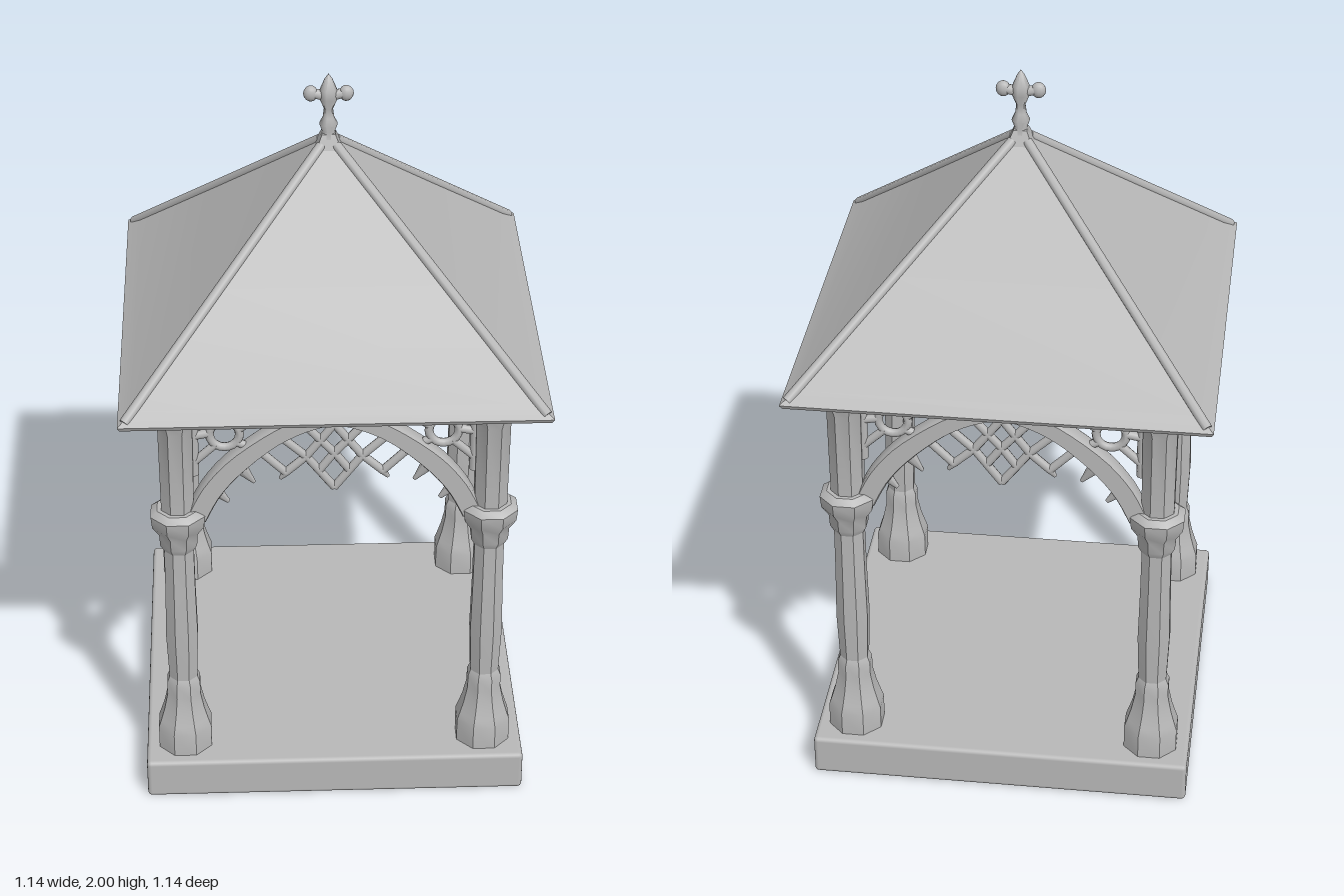
import * as THREE from 'three';
import { toCreasedNormals } from 'three/addons/utils/BufferGeometryUtils.js';
import { RoundedBoxGeometry } from 'three/addons/geometries/RoundedBoxGeometry.js';

const stone = new THREE.MeshStandardMaterial({ color: 0xb8b8b8 });
stone.name = 'grey stone';

function add(parent, name, geometry, x = 0, y = 0, z = 0) {
  const mesh = new THREE.Mesh(geometry, stone);
  mesh.name = name;
  mesh.position.set(x, y, z);
  parent.add(mesh);
  return mesh;
}

// Turned form with flat sides; profile is [half width, y] from bottom to top
function turned(profile, sides, crease = 0.6) {
  const k = 1 / Math.cos(Math.PI / sides);
  const g = new THREE.LatheGeometry(profile.map(([r, y]) => new THREE.Vector2(r * k, y)), sides);
  g.rotateY(Math.PI / sides);
  return toCreasedNormals(g, crease);
}

// Round bar between two points, tapering to r2 at the far end
function bar(parent, name, from, to, r = 0.012, r2 = r) {
  const a = new THREE.Vector3(...from), b = new THREE.Vector3(...to);
  const d = b.clone().sub(a);
  const mesh = add(parent, name, new THREE.CylinderGeometry(r2, r, d.length(), 8));
  mesh.position.copy(a).add(b).multiplyScalar(0.5);
  mesh.quaternion.setFromUnitVectors(new THREE.Vector3(0, 1, 0), d.normalize());
  return mesh;
}

// Pointed arch band, extruded
function archGeometry() {
  const outer = [[0.39, 0.92], [0.35, 1.0], [0.28, 1.085], [0.17, 1.17], [0.08, 1.215], [0, 1.238]];
  const inner = [[0, 1.195], [0.08, 1.17], [0.16, 1.125], [0.25, 1.045], [0.31, 0.97], [0.35, 0.89]];
  const smooth = (pts) => new THREE.SplineCurve(pts.map((p) => new THREE.Vector2(...p))).getPoints(16);
  const o = smooth(outer), i = smooth(inner);
  const flip = (pts) => pts.map((p) => new THREE.Vector2(-p.x, p.y)).reverse();
  const shape = new THREE.Shape([
    new THREE.Vector2(0.39, 0.89), ...o, ...flip(o).slice(1),
    new THREE.Vector2(-0.39, 0.89), ...flip(i), ...i.slice(1),
  ]);
  const g = new THREE.ExtrudeGeometry(shape, {
    depth: 0.036, bevelEnabled: true, bevelSize: 0.004, bevelThickness: 0.008, bevelSegments: 1,
  });
  g.translate(0, 0, -0.018);
  return toCreasedNormals(g, 0.6);
}

// One side of the pavilion: arch, spandrel tracery and hanging ornament
function archSide(arch, lattice) {
  const side = new THREE.Group();
  side.name = lattice ? 'latticeArch' : 'cuspedArch';
  add(side, 'archBand', arch);
  add(side, 'topBeam', new THREE.BoxGeometry(0.8, 0.035, 0.07), 0, 1.235, 0);
  for (const s of [-1, 1]) {
    const b = (x1, y1, x2, y2, r, r2) => bar(side, 'traceryBar', [s * x1, y1, 0], [s * x2, y2, 0], r, r2);
    // Spandrel roundel and its ties
    add(side, 'roundel', new THREE.TorusGeometry(0.04, 0.012, 8, 20), s * 0.292, 1.155, 0);
    b(0.385, 1.15, 0.33, 1.16);
    b(0.385, 1.06, 0.315, 1.125);
    b(0.36, 1.22, 0.32, 1.185);
    b(0.26, 1.13, 0.24, 1.12);
    b(0.255, 1.17, 0.19, 1.215);
    b(0.375, 1.03, 0.375, 1.22, 0.013);
    // Cusps along the lower arch
    b(0.33, 0.99, 0.285, 0.94, 0.022, 0.006);
    b(0.26, 1.06, 0.215, 1.0, 0.024, 0.005);
    if (lattice) {
      b(0, 1.18, 0.075, 1.08);
      b(0.075, 1.08, 0, 0.98);
      b(0.08, 1.18, 0, 1.09);
      b(0.075, 1.08, 0.15, 1.15);
      b(0.075, 1.08, 0.13, 1.03);
      b(0.13, 1.03, 0.2, 1.1);
      b(0.13, 1.03, 0.145, 1.01, 0.012, 0.005);
      b(0, 1.09, 0.04, 1.035);
    } else {
      b(0.17, 1.13, 0.15, 1.04, 0.03, 0.004);
      b(0.09, 1.175, 0.075, 1.12, 0.024, 0.006);
    }
  }
  if (!lattice) bar(side, 'centreCusp', [0, 1.2, 0], [0, 1.045, 0], 0.035, 0.004);
  return side;
}

export function createModel() {
  const model = new THREE.Group();
  model.name = 'gothicPavilion';

  // Base slab
  add(model, 'baseSlab', new RoundedBoxGeometry(1.065, 0.12, 1.06, 2, 0.012), 0, 0.06, 0);

  // Four corner columns with plinth, shaft, capital and upper pier
  const plinth = turned([[0, 0.11], [0.074, 0.11], [0.074, 0.19], [0.066, 0.215], [0.056, 0.25], [0.046, 0.3], [0.046, 0.34], [0.038, 0.36]], 8);
  const shaft = turned([[0.038, 0.34], [0.044, 0.5], [0.041, 0.66], [0.04, 0.8]], 8);
  const capital = turned([[0.04, 0.79], [0.05, 0.81], [0.052, 0.845], [0.07, 0.875], [0.073, 0.91], [0.055, 0.925], [0, 0.925]], 8);
  const pier = turned([[0.044, 0.92], [0.046, 1.18], [0.06, 1.22], [0.062, 1.25]], 8);
  for (const sx of [-1, 1]) for (const sz of [-1, 1]) {
    const column = new THREE.Group();
    column.name = 'cornerColumn';
    add(column, 'plinth', plinth);
    add(column, 'shaft', shaft);
    add(column, 'capital', capital);
    add(column, 'upperPier', pier);
    column.position.set(sx * 0.423, 0, sz * 0.423);
    model.add(column);
  }

  // Arches: lattice on front and back, cusps on the two flanks
  const arch = archGeometry();
  for (let i = 0; i < 4; i++) {
    const side = archSide(arch, i % 2 === 0);
    side.rotation.y = i * Math.PI / 2;
    side.position.set(Math.sin(i * Math.PI / 2) * 0.425, 0, Math.cos(i * Math.PI / 2) * 0.425);
    model.add(side);
  }

  // Pyramid roof with flared eaves and flat ceiling
  add(model, 'roof', turned([[0, 1.24], [0.46, 1.235], [0.5, 1.24], [0.562, 1.258], [0.568, 1.27], [0.53, 1.298], [0.3, 1.525], [0.035, 1.79], [0.018, 1.83], [0, 1.835]], 4, 0.3));
  for (const sx of [-1, 1]) for (const sz of [-1, 1]) {
    bar(model, 'hipRidge', [sx * 0.55, 1.275, sz * 0.55], [sx * 0.02, 1.8, sz * 0.02], 0.014);
  }

  // Finial: neck, bud and a small cross with arms to either side
  const finial = new THREE.Group();
  finial.name = 'finial';
  add(finial, 'neck', turned([[0.04, 1.77], [0.026, 1.81], [0.017, 1.835], [0.024, 1.855], [0.015, 1.875], [0.012, 1.9], [0.024, 1.93], [0.022, 1.955], [0.01, 1.985], [0, 2.0]], 12, 1.2));
  for (const s of [-1, 1]) {
    bar(finial, 'crossArm', [0, 1.935, 0], [s * 0.05, 1.945, 0], 0.016, 0.013);
    add(finial, 'armBud', new THREE.SphereGeometry(0.02, 12, 8), s * 0.047, 1.943, 0).scale.set(1, 1.1, 0.8);
  }
  model.add(finial);

  return model;
}
